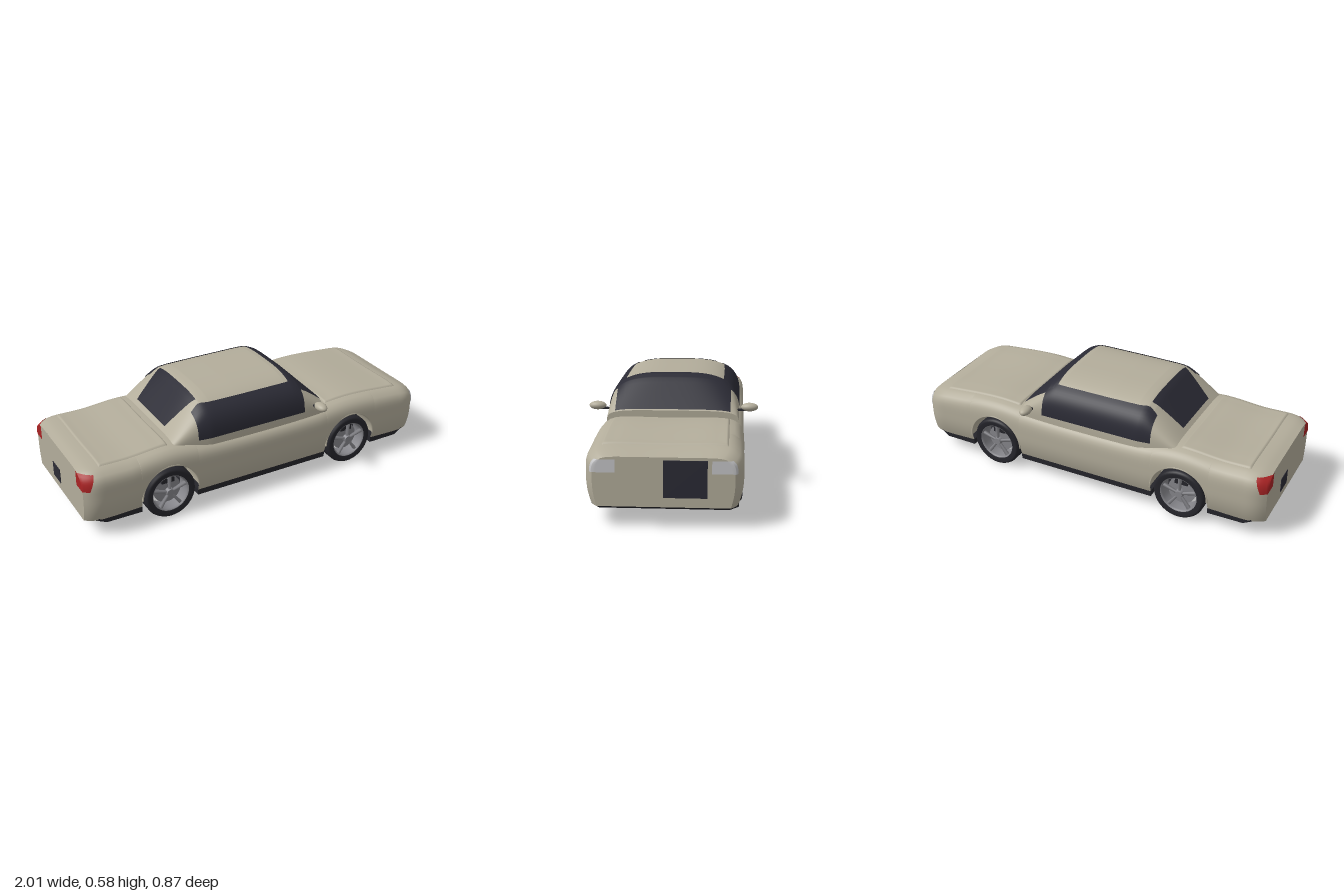
import * as THREE from 'three';

const paint = new THREE.MeshStandardMaterial({ color: 0xb3ad9b, side: THREE.DoubleSide });
const glass = new THREE.MeshStandardMaterial({ color: 0x2b2b35, side: THREE.DoubleSide });
const rubber = new THREE.MeshStandardMaterial({ color: 0x25252b, side: THREE.DoubleSide });
const alloy = new THREE.MeshStandardMaterial({ color: 0x85858a, side: THREE.DoubleSide });
const redLens = new THREE.MeshStandardMaterial({ color: 0xa92324, side: THREE.DoubleSide });
const clearLens = new THREE.MeshStandardMaterial({ color: 0xc6c6c8, side: THREE.DoubleSide });
Object.entries({ paint, glass, rubber, alloy, redLens, clearLens }).forEach(([n, m]) => { m.name = n; });

const { lerp, clamp } = THREE.MathUtils;
const ARCH_X = [-0.545, 0.555], ARCH_Y = 0.147, ARCH_R = 0.158, SILL = 0.1, MID = 0.22;

function mesh(name, geometry, material, parent, x = 0, y = 0, z = 0) {
  const m = new THREE.Mesh(geometry, material);
  m.name = name;
  m.position.set(x, y, z);
  parent.add(m);
  return m;
}

// Surface from f(u, v) -> [x, y, z]; faces point along du x dv
function grid(us, vs, f) {
  const pos = [], idx = [], n = vs.length;
  us.forEach((u) => vs.forEach((v) => pos.push(...f(u, v))));
  for (let i = 0; i < us.length - 1; i++) {
    for (let j = 0; j < n - 1; j++) {
      const a = i * n + j, b = a + n;
      idx.push(a, b, b + 1, a, b + 1, a + 1);
    }
  }
  const g = new THREE.BufferGeometry();
  g.setAttribute('position', new THREE.Float32BufferAttribute(pos, 3));
  g.setIndex(idx);
  g.computeVertexNormals();
  return g;
}
const steps = (a, b, n) => Array.from({ length: n + 1 }, (_, i) => lerp(a, b, i / n));

// Body rules: top line, half width, side and deck surfaces
const topLine = new THREE.CubicInterpolant(
  [-1, -0.95, -0.75, -0.53, -0.3, 0, 0.3, 0.55, 0.8, 0.94, 1],
  [0.37, 0.383, 0.386, 0.403, 0.382, 0.376, 0.382, 0.402, 0.387, 0.368, 0.342], 1);
const bodyTop = (x) => topLine.evaluate(clamp(x, -1, 1))[0];
const bodyHalf = (x) => 0.365 * (1 - 0.11 * Math.max(0, (Math.abs(x) - 0.88) / 0.12) ** 3);
function sideZ(x, y) {
  if (y < MID) return bodyHalf(x) * (1 - 0.06 * ((MID - y) / 0.12) ** 2);
  const r = Math.min(1, (y - MID) / (bodyTop(x) - MID));
  return bodyHalf(x) * (1 - r ** 5) ** 0.2;
}
function deckY(x, z) {
  const r = Math.min(1, Math.abs(z) / bodyHalf(x)), flat = Math.min(1, r / 0.87);
  return MID + (bodyTop(x) - MID) * (1 - r ** 5) ** 0.2 - 0.012 * (1 - flat ** 2);
}
function sillY(x) {
  for (const c of ARCH_X) {
    const d = Math.abs(x - c);
    if (d < ARCH_R + 1e-6) return ARCH_Y + Math.sqrt(Math.max(0, ARCH_R ** 2 - d * d));
  }
  return SILL;
}
function bodySection(x, v) {
  const s = Math.sign(1 - v) || 1, t = 1 - Math.abs(1 - v);
  const yc = MID + (bodyTop(x) - MID) * 0.87;
  if (t < 0.5) {
    const y = lerp(sillY(x), yc, t * 2);
    return [x, y, s * sideZ(x, y)];
  }
  const z = sideZ(x, yc) * (2 - 2 * t);
  return [x, deckY(x, z), s * z];
}

// Cabin rules: a rounded section that follows the roof line
const ROOF = [[-0.5, 0.4], [-0.345, 0.55], [-0.315, 0.57], [-0.27, 0.577], [-0.1, 0.58], [0.18, 0.58],
  [0.215, 0.576], [0.25, 0.556], [0.39, 0.415]];
const BASE = 0.34;
function roofY(x) {
  let i = 0;
  while (i < ROOF.length - 2 && x > ROOF[i + 1][0]) i++;
  const [a, b] = [ROOF[i], ROOF[i + 1]];
  return lerp(a[1], b[1], clamp((x - a[0]) / (b[0] - a[0]), 0, 1));
}
const cabinHalf = (x) => 0.338 - 0.028 * clamp((-0.3 - x) / 0.2, 0, 1);
const cabinPower = (x) => 3.2 + (0.58 - roofY(x)) * 10;
function cabinZ(x, y) {
  const n = cabinPower(x), r = clamp((y - BASE) / (roofY(x) - BASE), 0, 1);
  return cabinHalf(x) * (1 - r ** n) ** (1 / n);
}
function cabinY(x, z) {
  const n = cabinPower(x), r = Math.min(1, Math.abs(z) / cabinHalf(x));
  return BASE + (roofY(x) - BASE) * (1 - r ** n) ** (1 / n);
}
function cabinSection(x, v) {
  const s = Math.sign(1 - v) || 1, t = 1 - Math.abs(1 - v), k = 0.5 ** (1 / cabinPower(x));
  if (t < 0.5) {
    const y = lerp(BASE, BASE + (roofY(x) - BASE) * k, t * 2);
    return [x, y, s * cabinZ(x, y)];
  }
  const z = cabinHalf(x) * k * (2 - 2 * t);
  return [x, cabinY(x, z), s * z];
}

function addBody(car) {
  const xs = [...steps(-1, -0.88, 10), ...steps(-0.85, 0.85, 34), ...steps(0.88, 1, 10)]
    .filter((x) => ARCH_X.every((c) => Math.abs(x - c) > ARCH_R + 0.003));
  ARCH_X.forEach((c) => {
    xs.push(c - ARCH_R - 0.0005, c + ARCH_R + 0.0005);
    steps(0, Math.PI, 28).forEach((a) => xs.push(c + ARCH_R * Math.cos(a)));
  });
  xs.sort((a, b) => a - b);
  const vs = steps(0, 2, 56);
  mesh('bodyShell', grid(xs, vs, bodySection), paint, car);
  for (const end of [-1, 1]) {
    mesh(end > 0 ? 'noseFace' : 'tailFace', grid([end, -end], steps(0, 1, 28), (s, v) => {
      const p = bodySection(end, v);
      return [p[0], p[1], p[2] * s];
    }), paint, car);
  }

  // Dark underbody with wheel notches, tapering downwards
  const outline = [[-0.99, 0.3], [-0.94, 0.342]];
  ARCH_X.forEach((c) => outline.push([c - ARCH_R, 0.345], [c - ARCH_R, 0.23], [c + ARCH_R, 0.23], [c + ARCH_R, 0.345]));
  outline.push([0.94, 0.342], [0.995, 0.3]);
  const pts = [...outline, ...outline.map(([x, z]) => [x, -z]).reverse()].map((p) => new THREE.Vector2(...p));
  const floor = new THREE.ExtrudeGeometry(new THREE.Shape(pts), { depth: 0.033, bevelEnabled: false });
  floor.rotateX(Math.PI / 2);
  floor.translate(0, 0.108, 0);
  const p = floor.attributes.position;
  for (let i = 0; i < p.count; i++) {
    if (p.getY(i) < 0.09 && Math.abs(p.getX(i)) > 0.9) p.setX(i, p.getX(i) * 0.95);
  }
  floor.computeVertexNormals();
  mesh('underbody', floor, rubber, car);

  // Raised bonnet and boot lid with rolled edges
  for (const [name, x0, x1] of [['bonnet', 0.42, 0.9], ['bootLid', -0.9, -0.525]]) {
    const rolled = (a, b, n) => [a, a + 0.006, a + 0.014, ...steps(a + 0.03, b - 0.03, n), b - 0.014, b - 0.006, b];
    mesh(name, grid(rolled(x0, x1, 12), rolled(-0.295, 0.295, 16).reverse(), (x, z) => {
      const edge = Math.min(x - x0, x1 - x, 0.295 - Math.abs(z));
      const lift = edge < 0.001 ? -0.003 : edge < 0.007 ? 0.005 : edge < 0.015 ? 0.006 : 0.003;
      return [x, deckY(x, z) + lift, z];
    }), paint, car);
  }
}

function addCabin(car) {
  const xs = [...new Set([...ROOF.map((r) => r[0]), ...steps(-0.5, 0.39, 30)])].sort((a, b) => a - b);
  mesh('cabin', grid(xs, steps(0, 2, 56), cabinSection), paint, car);
  mesh('scuttle', grid([1, -1], steps(0, 1, 28), (s, v) => {
    const q = cabinSection(0.39, v);
    return [q[0], q[1], q[2] * s];
  }), paint, car);
  mesh('windscreen', grid([...steps(0.2, 0.25, 6), ...steps(0.27, 0.387, 8)], steps(0.295, -0.295, 28),
    (x, z) => [x + 0.003, cabinY(x, z) + 0.004, z]), glass, car);
  mesh('rearWindow', grid(steps(-0.48, -0.32, 16), steps(1, -1, 12), (x, s) => {
    const z = s * lerp(0.17, 0.21, (x + 0.48) / 0.16);
    return [x - 0.003, cabinY(x, z) + 0.004, z];
  }), glass, car);
  for (const s of [1, -1]) {
    mesh('sideWindow', grid(steps(-0.37, 0.26, 42), s > 0 ? steps(0, 1, 14) : steps(1, 0, 14), (x, v) => {
      const y = lerp(0.385, Math.min(0.545, BASE + (roofY(x) - BASE) * 0.9), v);
      return [x, y + 0.002, s * (cabinZ(x, y) + 0.004)];
    }), glass, car);
    // Door mirror on a short stalk
    mesh('mirror', new THREE.SphereGeometry(1, 24, 16), paint, car, 0.327, 0.425, s * 0.392).scale.set(0.029, 0.022, 0.044);
    mesh('mirrorStalk', new THREE.BoxGeometry(0.022, 0.008, 0.06), rubber, car, 0.327, 0.41, s * 0.345);
  }
}

// Lamp that wraps from an end face round the corner onto the side
function addLamps(car) {
  const lamp = (name, material, end, s, zIn, y0, y1, reach) => mesh(name,
    grid(steps(0, 1, 12), steps(y0, y1, 8), (u, y) => {
      if (u <= 0.5) return [end * 1.002, y, s * lerp(zIn, sideZ(end, y) + 0.003, u * 2)];
      const x = end * (1 - reach(y) * (u * 2 - 1));
      return [x, y, s * (sideZ(x, y) + 0.003)];
    }), material, car);
  for (const s of [1, -1]) {
    lamp('headlight', clearLens, 1, s, 0.22, 0.26, 0.32, () => 0.012);
    lamp('tailLight', redLens, -1, s, 0.25, 0.278, 0.357, (y) => 0.03 + (y - 0.278) * 0.38);
  }
  mesh('frontPanel', new THREE.BoxGeometry(0.006, 0.175, 0.2), glass, car, 1, 0.2325, -0.1);
  mesh('rearPanel', new THREE.BoxGeometry(0.006, 0.08, 0.1), glass, car, -1, 0.185, -0.05);
}

// Wheel with its axis along z, outer side towards +z
function makeWheel() {
  const wheel = new THREE.Group();
  wheel.name = 'wheel';
  const lathe = (pts) => new THREE.LatheGeometry(pts.map((q) => new THREE.Vector2(...q)), 48).rotateX(Math.PI / 2);
  mesh('tyre', lathe([[0.1, -0.045], [0.125, -0.051], [0.135, -0.046], [0.14, -0.035], [0.14, 0.035],
    [0.135, 0.046], [0.125, 0.051], [0.1, 0.045]]), rubber, wheel);
  mesh('rimBarrel', lathe([[0.1, -0.045], [0.094, -0.04], [0.094, 0.036], [0.097, 0.044], [0.102, 0.046]]), alloy, wheel);
  mesh('brakeDisc', new THREE.CylinderGeometry(0.076, 0.076, 0.008, 40).rotateX(Math.PI / 2), alloy, wheel, 0, 0, -0.005);
  mesh('hub', new THREE.CylinderGeometry(0.019, 0.024, 0.022, 24).rotateX(Math.PI / 2), alloy, wheel, 0, 0, 0.032);
  mesh('caliper', new THREE.BoxGeometry(0.07, 0.034, 0.022), rubber, wheel, 0, 0.062, 0.004);
  for (let i = 0; i < 5; i++) {
    const spoke = new THREE.CylinderGeometry(0.012, 0.008, 0.08, 4, 1).rotateY(Math.PI / 4);
    spoke.translate(0, 0.056, 0);
    mesh('spoke', spoke, alloy, wheel, 0, 0, 0.03).rotation.z = (i * Math.PI * 2) / 5;
  }
  return wheel;
}

function addWheels(car) {
  for (const cx of ARCH_X) {
    for (const s of [1, -1]) {
      const wheel = makeWheel();
      wheel.position.set(cx, 0.14, s * 0.308);
      if (s < 0) wheel.scale.z = -1;
      car.add(wheel);
      // Wheel housing and arch lip
      mesh('archLiner', grid(steps(0, Math.PI, 28), [0.22, 1], (a, v) => {
        const x = cx + ARCH_R * Math.cos(a), y = ARCH_Y + ARCH_R * Math.sin(a);
        return [x, y, s * (v === 1 ? sideZ(x, y) : v)];
      }), paint, car);
      mesh('archInnerWall', new THREE.CircleGeometry(ARCH_R, 28, 0, Math.PI), paint, car, cx, ARCH_Y, s * 0.222);
      mesh('archLip', new THREE.TorusGeometry(ARCH_R, 0.005, 8, 32, Math.PI), paint, car, cx, ARCH_Y, s * 0.36);
    }
  }
}

export function createModel() {
  const car = new THREE.Group();
  car.name = 'car';
  addBody(car);
  addCabin(car);
  addLamps(car);
  addWheels(car);
  return car;
}
